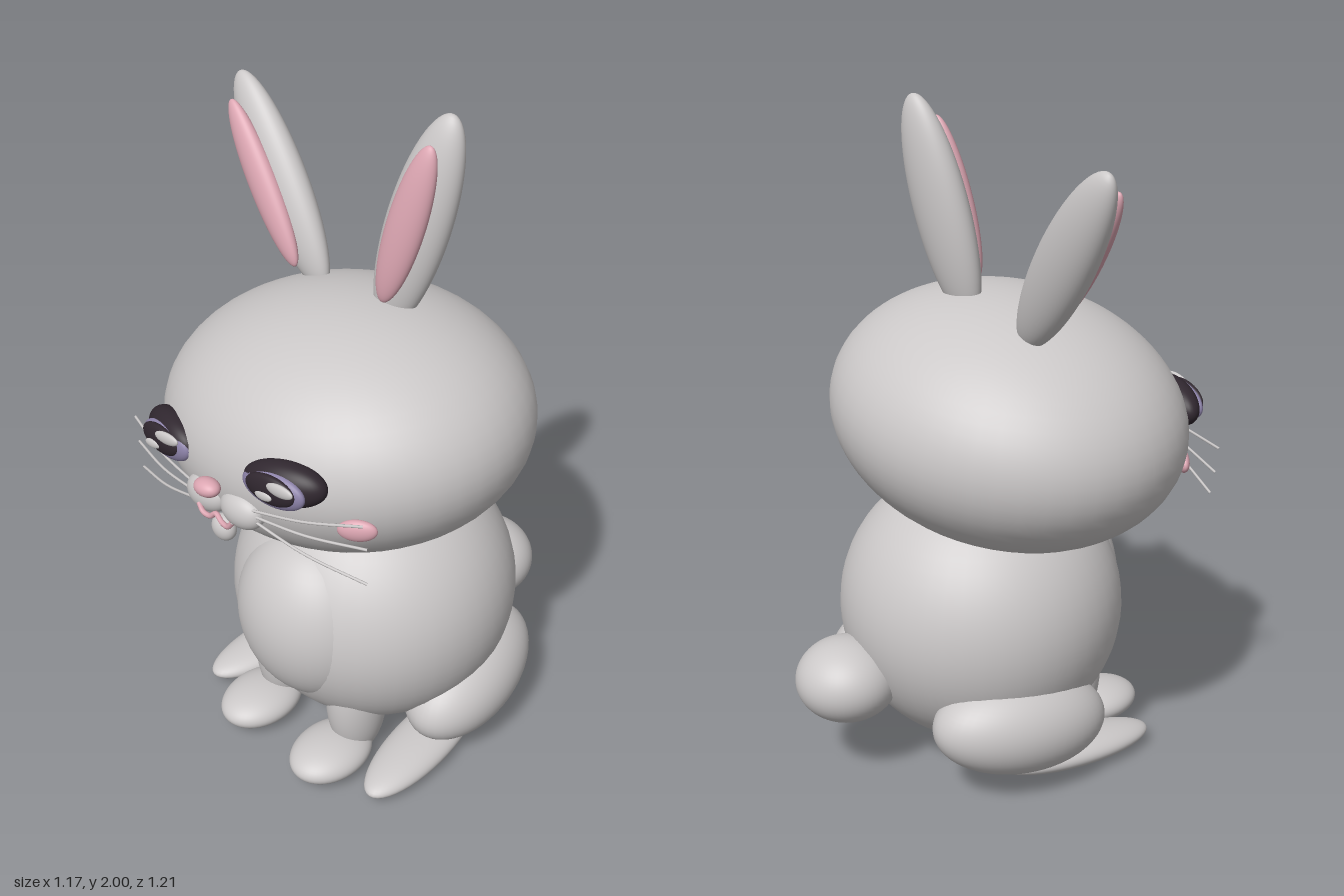
import * as THREE from 'three';

const RAD = Math.PI / 180;
const ROLL = 8.5; // the head leans to one side
const MID = 0.087; // centre line of the body

const material = (name, color) => {
  const m = new THREE.MeshStandardMaterial({ color });
  m.name = name;
  return m;
};

export function createModel() {
  const model = new THREE.Group();
  model.name = 'rabbit';
  const fur = material('fur grey', 0xcbc8c8);
  const pink = material('soft pink', 0xdca6b2);
  const dark = material('eye dark', 0x30272f);
  const violet = material('iris violet', 0x8c82a8);

  const ball = new THREE.SphereGeometry(1, 48, 32);

  // Ellipsoid with centre, radii and rotation in degrees
  function blob(name, mat, pos, radii, rot = [0, 0, 0], parent = model) {
    const mesh = new THREE.Mesh(ball, mat);
    mesh.name = name;
    mesh.position.set(...pos);
    mesh.scale.set(...radii);
    mesh.rotation.set(...rot.map((d) => d * RAD));
    parent.add(mesh);
    return mesh;
  }

  function tube(name, mat, points, radius, segments) {
    const curve = new THREE.CatmullRomCurve3(points.map((p) => new THREE.Vector3(...p)));
    const mesh = new THREE.Mesh(new THREE.TubeGeometry(curve, segments, radius, 8), mat);
    mesh.name = name;
    model.add(mesh);
  }

  // Torso, head and tail
  blob('body', fur, [MID, 0.472, 0], [0.437, 0.43, 0.43]);
  blob('chest', fur, [MID, 0.495, 0.25], [0.25, 0.283, 0.22]);
  blob('head', fur, [0.018, 1.092, 0.047], [0.568, 0.357, 0.497], [0, 0, ROLL]);
  blob('tail', fur, [0.155, 0.315, -0.45], [0.155, 0.125, 0.155]);

  // Legs and feet, mirrored about the body's centre line
  for (const s of [1, -1]) {
    const side = s > 0 ? 'left' : 'right';
    blob(side + 'FrontLeg', fur, [MID + s * 0.158, 0.22, 0.235], [0.088, 0.22, 0.098]);
    blob(side + 'FrontPaw', fur, [MID + s * 0.158, 0.066, 0.345], [0.108, 0.058, 0.142]);
    blob(side + 'Thigh', fur, [MID + s * 0.313, 0.217, -0.095], [0.158, 0.153, 0.275], [6, s * 12, 0]);
    blob(side + 'HindFoot', fur, [MID + s * 0.322, 0.057, 0.11], [0.093, 0.048, 0.27], [2, s * 7, 0]);
  }

  // Ears with pink inner faces, leaning back a little
  blob('rightEar', fur, [-0.377, 1.62, -0.08], [0.092, 0.33, 0.058], [-6, 0, 36.5]);
  blob('rightInnerEar', pink, [-0.391, 1.625, -0.022], [0.052, 0.252, 0.034], [-6, 0, 36.5]);
  blob('leftEar', fur, [0.155, 1.677, -0.08], [0.094, 0.33, 0.06], [-6, 12, -12]);
  blob('leftInnerEar', pink, [0.167, 1.7, -0.02], [0.056, 0.24, 0.034], [-6, 12, -12]);

  // Eyes: dark rim, violet iris, dark pupil and two highlights
  const eyes = [
    { side: 'left', s: 1, x: 0.235, y: 1.175 },
    { side: 'right', s: -1, x: -0.225, y: 1.1 },
  ];
  for (const { side, s, x, y } of eyes) {
    const eye = new THREE.Group();
    eye.name = side + 'Eye';
    eye.position.set(x, y, 0.485);
    eye.rotation.z = ROLL * RAD;
    model.add(eye);
    blob('eyeRim', dark, [0, 0, 0], [0.126, 0.065, 0.055], [0, s * 15, 0], eye);
    blob('iris', violet, [-s * 0.01, -0.006, 0.034], [0.108, 0.055, 0.028], [0, s * 5, 0], eye);
    blob('pupil', dark, [-s * 0.004, 0.002, 0.05], [0.085, 0.045, 0.02], [0, s * 5, 0], eye);
    blob('largeHighlight', fur, [0.053, 0.026, 0.064], [0.05, 0.019, 0.01], [0, 0, 3], eye);
    blob('smallHighlight', fur, [-0.012, -0.01, 0.068], [0.032, 0.014, 0.008], [0, 0, 3], eye);
  }

  // Nose, muzzle, chin and cheeks
  blob('nose', pink, [0.016, 1.085, 0.57], [0.044, 0.026, 0.031], [0, 0, ROLL]);
  blob('rightMuzzle', fur, [-0.042, 1.01, 0.52], [0.077, 0.056, 0.045], [0, 0, ROLL]);
  blob('leftMuzzle', fur, [0.1, 1.03, 0.52], [0.077, 0.056, 0.045], [0, 0, ROLL]);
  blob('chin', fur, [0.047, 0.952, 0.545], [0.04, 0.04, 0.03], [0, 0, ROLL]);
  blob('rightCheek', pink, [-0.35, 0.963, 0.405], [0.055, 0.033, 0.02], [0, -30, ROLL]);
  blob('leftCheek', pink, [0.418, 1.075, 0.405], [0.055, 0.033, 0.02], [0, 30, ROLL]);

  // Smiling mouth line
  tube('mouth', pink, [
    [-0.035, 1.0, 0.562], [-0.014, 0.981, 0.566], [0.012, 0.98, 0.564], [0.034, 0.998, 0.56],
    [0.062, 0.986, 0.564], [0.088, 0.988, 0.566], [0.108, 1.014, 0.564],
  ], 0.008, 40);

  // Whiskers: start and end of each, sagging slightly in the middle
  const whiskers = [
    [-0.08, 1.022, -0.455, 1.016, 0.45],
    [-0.08, 0.995, -0.44, 0.937, 0.455],
    [-0.08, 0.972, -0.415, 0.862, 0.465],
    [0.15, 1.062, 0.485, 1.153, 0.45],
    [0.15, 1.045, 0.51, 1.098, 0.46],
    [0.15, 1.032, 0.522, 0.998, 0.472],
  ];
  for (const [x0, y0, x1, y1, z1] of whiskers) {
    tube('whisker', fur, [
      [x0, y0, 0.535], [(x0 + x1) / 2, (y0 + y1) / 2 - 0.006, (0.535 + z1) / 2 + 0.01], [x1, y1, z1],
    ], 0.004, 12);
  }

  return model;
}
